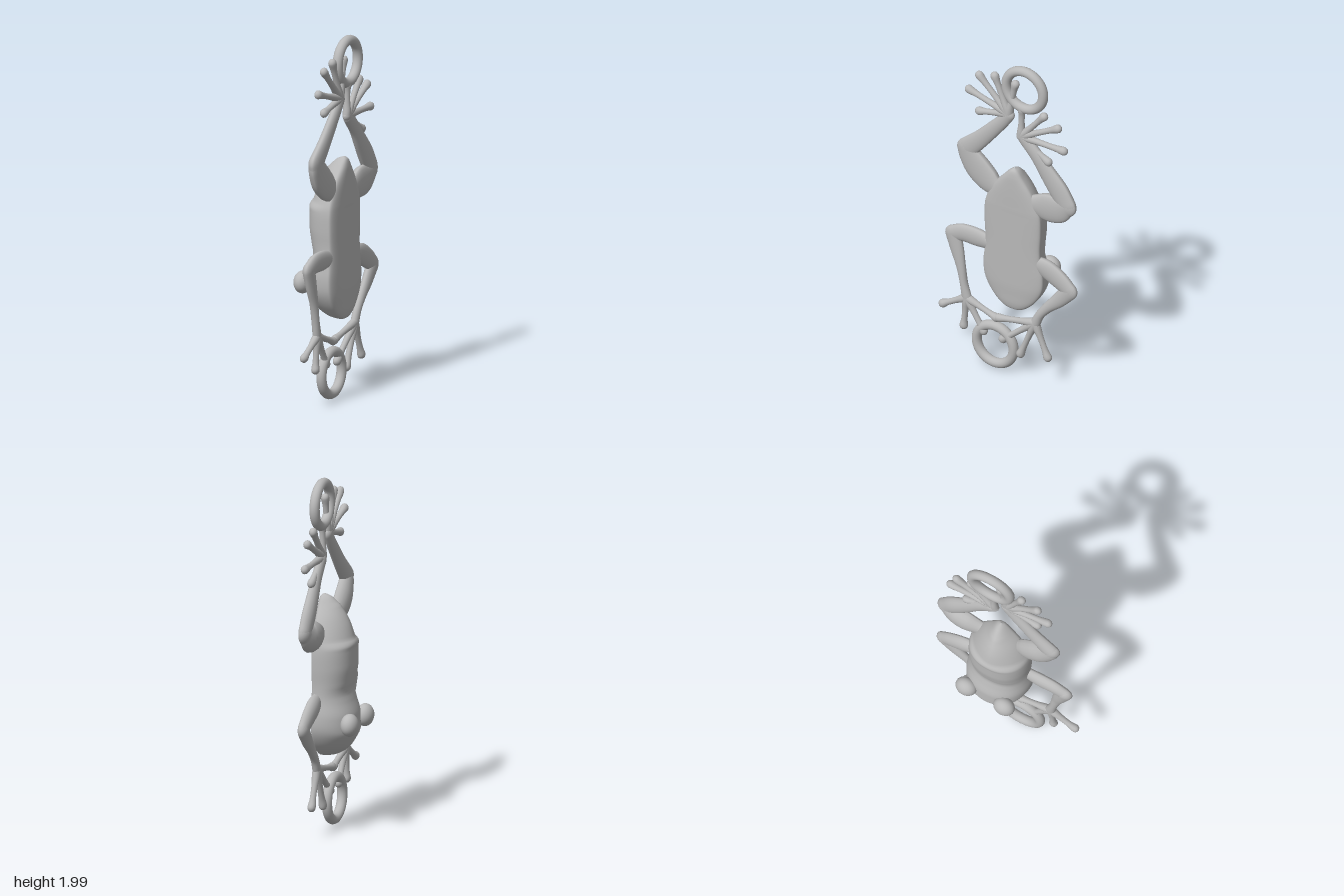
import * as THREE from 'three';

const metal = new THREE.MeshStandardMaterial({ color: 0xb8b8b8 });
metal.name = 'grey metal';
const PLANE = 0.095; // x of the plane the limbs lie in

// Skin a list of closed rings (each an array of [x, y, z]); flips faces if they point inward
function loft(rings) {
  const n = rings[0].length, pos = rings.flat(2), idx = [];
  for (let i = 0; i < rings.length - 1; i++)
    for (let j = 0; j < n; j++) {
      const a = i * n + j, b = i * n + (j + 1) % n;
      idx.push(a, b, a + n, b, b + n, a + n);
    }
  const v = (k) => new THREE.Vector3().fromArray(pos, idx[k] * 3);
  let volume = 0;
  for (let k = 0; k < idx.length; k += 3) volume += v(k).dot(v(k + 1).cross(v(k + 2)));
  if (volume < 0) idx.reverse();
  const g = new THREE.BufferGeometry();
  g.setAttribute('position', new THREE.Float32BufferAttribute(pos, 3));
  g.setIndex(idx);
  g.computeVertexNormals();
  return g;
}

function add(parent, name, geometry) {
  const m = new THREE.Mesh(geometry, metal);
  m.name = name;
  parent.add(m);
  return m;
}

// Tapered limb with round ends; points are [z, y, radius]. Flatter on the back (+x) side
function limb(points, steps = 24, sides = 20) {
  const curve = new THREE.CatmullRomCurve3(points.map((p) => new THREE.Vector3(...p)));
  const rings = [];
  const ring = (p, t, r, shift) => {
    const len = Math.hypot(t.x, t.y), tz = t.x / len, ty = t.y / len;
    const out = [];
    for (let j = 0; j < sides; j++) {
      const a = (j / sides) * Math.PI * 2, c = Math.cos(a) * r, s = Math.sin(a);
      const k = r / p.z;
      const depth = s > 0 ? Math.min(p.z, 0.023) * k : Math.max(p.z * 0.72, Math.min(p.z, 0.022)) * k;
      out.push([PLANE + s * depth, p.y + ty * shift + tz * c, p.x + tz * shift - ty * c]);
    }
    rings.push(out);
  };
  const cap = (u, dir) => {
    const p = curve.getPoint(u), t = curve.getTangent(u);
    for (let i = 1; i <= 6; i++) {
      const a = ((dir < 0 ? 7 - i : i) / 6.02) * Math.PI / 2;
      if (a > Math.PI / 2) continue;
      ring(p, t, p.z * Math.cos(a), dir * p.z * Math.sin(a));
    }
  };
  cap(0, -1);
  for (let i = 0; i <= steps; i++) ring(curve.getPoint(i / steps), curve.getTangent(i / steps), curve.getPoint(i / steps).z, 0);
  cap(1, 1);
  return loft(rings);
}

// Body stations: [y, centre z, half width, front x, back x, roundness]
function bodyGeometry() {
  const stations = [
    [1.340, -0.04, 0.002, 0.098, 0.102, 2],
    [1.325, -0.04, 0.025, 0.060, 0.120, 1.9],
    [1.280, -0.035, 0.062, 0.010, 0.130, 1.75],
    [1.200, -0.03, 0.122, -0.035, 0.133, 1.7],
    [1.100, -0.03, 0.168, -0.067, 0.134, 1.8],
    [1.050, -0.03, 0.178, -0.078, 0.134, 2.3],
    [0.950, -0.03, 0.179, -0.077, 0.134, 2.3],
    [0.850, -0.03, 0.174, -0.062, 0.134, 2.3],
    [0.770, -0.03, 0.178, -0.062, 0.134, 2.2],
    [0.680, -0.033, 0.190, -0.090, 0.134, 2.2],
    [0.600, -0.035, 0.183, -0.095, 0.134, 2.2],
    [0.530, -0.035, 0.150, -0.072, 0.131, 2.1],
    [0.470, -0.035, 0.098, -0.025, 0.127, 2],
    [0.440, -0.035, 0.052, 0.030, 0.118, 2],
    [0.430, -0.035, 0.002, 0.090, 0.102, 2],
  ];
  const place = new THREE.CatmullRomCurve3(stations.map((s) => new THREE.Vector3(s[0], s[1], s[2])));
  const depth = new THREE.CatmullRomCurve3(stations.map((s) => new THREE.Vector3(s[3], s[4], s[5])));
  const rings = [];
  for (let i = 0; i <= 84; i++) {
    const p = place.getPoint(i / 84), d = depth.getPoint(i / 84), ring = [];
    for (let j = 0; j < 56; j++) {
      const a = (j / 56) * Math.PI * 2, c = Math.cos(a), s = Math.sin(a);
      const n = s > 0 ? 2.4 : d.z;
      const bend = (v) => Math.sign(v) * Math.abs(v) ** (2 / n);
      const x = 0.1 + bend(s) * (s > 0 ? d.y - 0.1 : 0.1 - d.x);
      ring.push([x, p.x, p.y + bend(c) * p.z]);
    }
    rings.push(ring);
  }
  return loft(rings);
}

// Two limb segments plus a fan of toes with bulbous tips
function leg(parent, name, { upper, lower, foot, toes }) {
  const g = new THREE.Group();
  g.name = name;
  add(g, 'upperLimb', limb(upper));
  add(g, 'lowerLimb', limb(lower));
  for (const [z, y] of toes) {
    const at = (t) => [foot[0] + (z - foot[0]) * t, foot[1] + (y - foot[1]) * t];
    add(g, 'toe', limb([[...foot, 0.028], [...at(0.4), 0.018], [...at(0.75), 0.018], [...at(0.94), 0.025]], 14, 12));
  }
  parent.add(g);
}

export function createModel() {
  const frog = new THREE.Group();
  frog.name = 'frogPendant';
  add(frog, 'body', bodyGeometry());

  // Eyes
  for (const z of [-0.152, 0.084]) {
    const eye = add(frog, 'eye', new THREE.SphereGeometry(1, 28, 20));
    eye.scale.set(0.049, 0.063, 0.062);
    eye.position.set(-0.089, 0.64, z);
  }

  // Hanging rings
  for (const [name, y, z] of [['topRing', 1.855, -0.1], ['bottomRing', 0.153, 0.09]]) {
    const ring = add(frog, name, new THREE.TorusGeometry(0.118, 0.028, 16, 56));
    ring.rotation.y = Math.PI / 2;
    ring.position.set(0.09, y, z);
  }

  // Hind legs reach up, front legs reach down
  leg(frog, 'leftHindLeg', {
    upper: [[0.07, 1.16, 0.05], [0.13, 1.195, 0.076], [0.2, 1.255, 0.083], [0.25, 1.32, 0.07], [0.27, 1.36, 0.06]],
    lower: [[0.265, 1.365, 0.06], [0.18, 1.45, 0.05], [0.1, 1.54, 0.043], [0.04, 1.61, 0.038], [0, 1.665, 0.036]],
    foot: [0, 1.67],
    toes: [[0.27, 1.75], [0.2, 1.87], [0.095, 1.9], [-0.045, 1.89], [0.2, 1.625]],
  });
  leg(frog, 'rightHindLeg', {
    upper: [[-0.16, 1.14, 0.06], [-0.24, 1.148, 0.085], [-0.31, 1.16, 0.083], [-0.37, 1.195, 0.06]],
    lower: [[-0.37, 1.205, 0.058], [-0.32, 1.28, 0.062], [-0.25, 1.37, 0.053], [-0.18, 1.46, 0.042], [-0.1, 1.545, 0.038]],
    foot: [-0.08, 1.555],
    toes: [[-0.235, 1.74], [-0.33, 1.69], [-0.37, 1.55], [-0.265, 1.44], [-0.085, 1.74]],
  });
  leg(frog, 'leftFrontLeg', {
    upper: [[0.11, 0.8, 0.04], [0.2, 0.805, 0.055], [0.29, 0.805, 0.053], [0.355, 0.785, 0.046]],
    lower: [[0.357, 0.78, 0.049], [0.33, 0.68, 0.041], [0.305, 0.58, 0.028], [0.287, 0.48, 0.023], [0.27, 0.4, 0.03]],
    foot: [0.27, 0.395],
    toes: [[0.432, 0.3], [0.29, 0.2], [0.155, 0.205], [0.07, 0.325]],
  });
  leg(frog, 'rightFrontLeg', {
    upper: [[-0.17, 0.77, 0.045], [-0.25, 0.745, 0.06], [-0.33, 0.702, 0.056], [-0.388, 0.66, 0.047]],
    lower: [[-0.388, 0.655, 0.049], [-0.32, 0.575, 0.041], [-0.25, 0.505, 0.03], [-0.2, 0.44, 0.026], [-0.17, 0.375, 0.03]],
    foot: [-0.17, 0.38],
    toes: [[-0.255, 0.17], [-0.07, 0.135], [0.05, 0.195], [0.08, 0.33]],
  });
  return frog;
}
